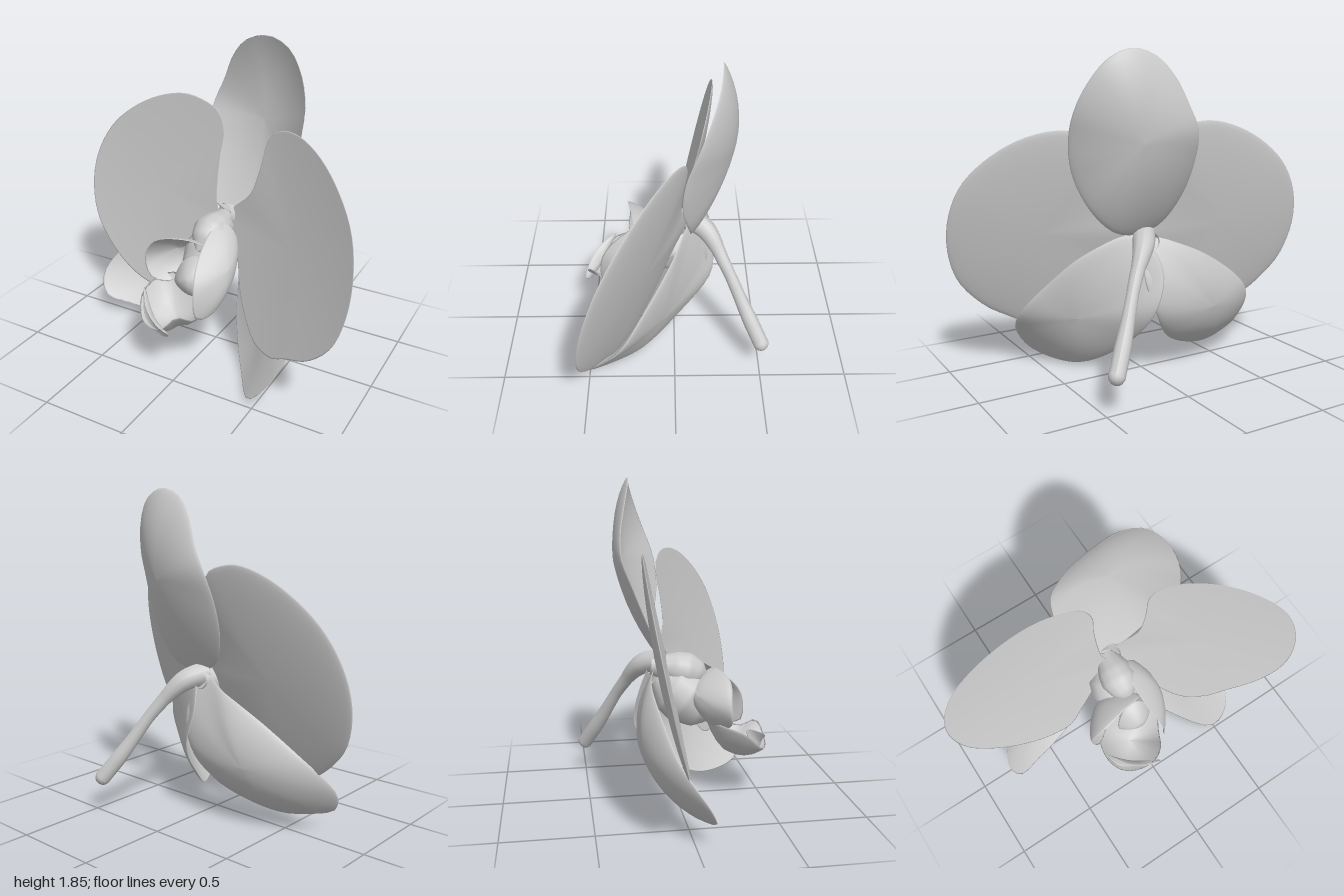
import * as THREE from 'three';

const V = (p) => new THREE.Vector3(p[0], p[1], p[2]);

// Cupped, thin closed blade: a smooth 3D rim (counter-clockwise from its front)
// whose middle is pulled toward `cup`; the back shell sits `thick` behind.
function petalGeometry(rim, cup, thick, segs = 48, rings = 10) {
  const curve = new THREE.CatmullRomCurve3(rim.map(V), true);
  const edge = curve.getSpacedPoints(segs).slice(0, segs);
  const mid = new THREE.Vector3();
  edge.forEach((e) => mid.addScaledVector(e, 1 / segs));
  const normal = new THREE.Vector3();
  edge.forEach((e, i) => {
    const a = e.clone().sub(mid), b = edge[(i + 1) % segs].clone().sub(mid);
    normal.add(a.cross(b));
  });
  normal.normalize();
  const pull = V(cup).sub(mid);

  const pos = [], index = [];
  // rings run from the front middle, over the rim, to the back middle
  const total = rings * 2;
  for (let r = 0; r <= total; r++) {
    const s = Math.max(0.001, Math.sin((r / total) * Math.PI));
    const back = r > rings ? thick * Math.sqrt(1 - s * s) : 0;
    for (const e of edge) {
      // rim waviness fades out quadratically so the middle stays smooth
      const wave = e.clone().sub(mid).dot(normal);
      const p = mid.clone().lerp(e, s).addScaledVector(normal, wave * (s * s - s) - back);
      p.addScaledVector(pull, 1 - s * s);
      pos.push(p.x, p.y, p.z);
    }
  }
  for (let r = 0; r < total; r++) {
    for (let i = 0; i < segs; i++) {
      const j = (i + 1) % segs;
      const a = r * segs + i, b = r * segs + j, c = a + segs, d = b + segs;
      index.push(a, c, b, b, c, d);
    }
  }
  const g = new THREE.BufferGeometry();
  g.setAttribute('position', new THREE.Float32BufferAttribute(pos, 3));
  g.setIndex(index);
  g.computeVertexNormals();
  return g;
}

// Tube whose radius follows a list of values along its path
function taperedTube(path, radii, segs = 24, sides = 12) {
  const g = new THREE.TubeGeometry(new THREE.CatmullRomCurve3(path.map(V)), segs, 1, sides);
  const curve = g.parameters.path, p = g.attributes.position, v = new THREE.Vector3();
  for (let i = 0; i < p.count; i++) {
    const t = Math.floor(i / (sides + 1)) / segs;
    const k = t * (radii.length - 1), n = Math.min(Math.floor(k), radii.length - 2);
    const radius = THREE.MathUtils.lerp(radii[n], radii[n + 1], k - n);
    const c = curve.getPointAt(t);
    v.fromBufferAttribute(p, i).sub(c).multiplyScalar(radius).add(c);
    p.setXYZ(i, v.x, v.y, v.z);
  }
  g.computeVertexNormals();
  return g;
}

export function createModel() {
  const flower = new THREE.Group();
  flower.name = 'orchidFlower';
  const material = new THREE.MeshStandardMaterial({ color: 0xcccccc, side: THREE.DoubleSide });
  const add = (name, geometry) => {
    const mesh = new THREE.Mesh(geometry, material);
    mesh.name = name;
    flower.add(mesh);
    return mesh;
  };

  // Two broad side petals, each lying on its own tilted plane
  const rightZ = (x, y) => -0.05 + 0.12 * x - 0.21 * (y - 0.85);
  const leftZ = (x, y) => 0.58 * (x - 0.2) - 0.25 * (y - 0.85);
  const onPlane = (pts, z) => pts.map(([x, y]) => [x, y, z(x, y)]);
  add('rightPetal', petalGeometry(onPlane([
    [-0.03, 0.9], [-0.04, 1.15], [-0.03, 1.3], [-0.08, 1.4], [-0.17, 1.44], [-0.34, 1.46],
    [-0.6, 1.38], [-0.85, 1.2], [-0.97, 1.0], [-1, 0.8], [-0.95, 0.6], [-0.85, 0.47],
    [-0.68, 0.34], [-0.48, 0.27], [-0.33, 0.29], [-0.25, 0.4], [-0.15, 0.55], [0, 0.8],
  ], rightZ), [-0.48, 0.87, rightZ(-0.48, 0.87) - 0.02], 0.03, 64));
  add('leftPetal', petalGeometry(onPlane([
    [0.05, 0.84], [0.15, 0.65], [0.22, 0.45], [0.29, 0.34], [0.38, 0.25], [0.52, 0.24],
    [0.63, 0.3], [0.78, 0.38], [0.92, 0.53], [0.98, 0.7], [0.99, 0.9], [0.94, 1.1],
    [0.83, 1.25], [0.67, 1.37], [0.5, 1.42], [0.37, 1.4], [0.29, 1.33], [0.25, 1.15],
    [0.2, 1.0], [0.1, 0.9],
  ], leftZ), [0.56, 0.84, leftZ(0.56, 0.84) - 0.02], 0.03, 64));

  // Three sepals behind the petals
  add('topSepal', petalGeometry([
    [0.06, 0.83, -0.08], [0.21, 0.85, -0.09], [0.35, 0.97, -0.08], [0.45, 1.18, -0.04],
    [0.48, 1.38, -0.06], [0.47, 1.54, -0.12], [0.41, 1.69, -0.18], [0.32, 1.8, -0.22],
    [0.19, 1.85, -0.24], [0.05, 1.81, -0.25], [-0.05, 1.7, -0.28], [-0.12, 1.55, -0.31],
    [-0.18, 1.42, -0.31], [-0.2, 1.25, -0.25], [-0.17, 1.05, -0.17], [-0.07, 0.88, -0.1],
  ], [0.16, 1.36, -0.28], 0.035));
  add('rightSepal', petalGeometry([
    [0, 0.8, -0.1], [-0.2, 0.75, -0.16], [-0.45, 0.62, -0.14], [-0.68, 0.45, -0.08],
    [-0.78, 0.33, 0], [-0.8, 0.24, 0.06], [-0.75, 0.14, 0.1], [-0.62, 0.1, 0.06],
    [-0.47, 0.08, 0.02], [-0.28, 0.12, -0.04], [-0.1, 0.22, -0.12], [0.02, 0.4, -0.2],
    [0.08, 0.62, -0.17],
  ], [-0.36, 0.38, -0.19], 0.03));
  add('leftSepal', petalGeometry([
    [0.08, 0.83, -0.1], [-0.02, 0.65, -0.21], [0.03, 0.42, -0.23], [0.12, 0.18, -0.04],
    [0.3, 0.01, 0.24], [0.48, 0.05, 0.49], [0.6, 0.2, 0.45], [0.63, 0.35, 0.31],
    [0.51, 0.55, 0.16], [0.34, 0.73, 0.02],
  ], [0.36, 0.35, 0.09], 0.03));

  // Column: low hooded swelling above the lip
  add('column', taperedTube(
    [[0.01, 0.79, -0.14], [0.01, 0.77, -0.02], [0, 0.74, 0.1], [-0.01, 0.69, 0.2]],
    [0.05, 0.07, 0.1, 0.11, 0.08, 0.004]));
  // Throat joining lip and column
  add('throat', taperedTube(
    [[0.02, 0.72, -0.1], [0, 0.63, 0.02], [-0.02, 0.55, 0.12], [-0.04, 0.48, 0.24]],
    [0.06, 0.15, 0.16, 0.12, 0.01]));

  // Lip: two upright side lobes and a scooped middle lobe
  add('rightLipLobe', petalGeometry([
    [-0.17, 0.46, 0.2], [-0.12, 0.58, 0.1], [-0.06, 0.68, 0.1], [0.05, 0.75, 0.22],
    [-0.07, 0.77, 0.25], [-0.25, 0.73, 0.28], [-0.32, 0.6, 0.27], [-0.27, 0.49, 0.28],
  ], [-0.18, 0.64, 0.13], 0.025, 32, 6));
  add('leftLipLobe', petalGeometry([
    [0.06, 0.84, 0.04], [0.05, 0.74, 0.26], [0.09, 0.58, 0.42], [0.11, 0.4, 0.42],
    [0.16, 0.4, 0.32], [0.18, 0.52, 0.14], [0.15, 0.74, 0.02],
  ], [0.2, 0.63, 0.22], 0.025, 32, 6));
  add('middleLipLobe', petalGeometry([
    [-0.22, 0.5, 0.2], [-0.28, 0.44, 0.36], [-0.21, 0.33, 0.48], [-0.06, 0.34, 0.53],
    [0.03, 0.43, 0.5], [0.09, 0.38, 0.4], [0.14, 0.48, 0.25], [0, 0.5, 0.18],
  ], [-0.08, 0.3, 0.32], 0.025, 32, 6));
  // Curled tip of the middle lobe
  add('lipTip', petalGeometry([
    [-0.27, 0.47, 0.36], [-0.22, 0.33, 0.44], [-0.08, 0.29, 0.5], [0.01, 0.33, 0.54],
    [-0.08, 0.36, 0.53], [-0.19, 0.42, 0.47],
  ], [-0.15, 0.35, 0.47], 0.02, 24, 5));
  // Callus: folded swelling in the mouth of the lip
  add('callus', petalGeometry([
    [-0.12, 0.5, 0.27], [0.02, 0.46, 0.3], [0.1, 0.55, 0.27], [0.04, 0.67, 0.22],
    [-0.05, 0.66, 0.22], [-0.1, 0.6, 0.24],
  ], [-0.01, 0.57, 0.33], 0.06, 24, 6));

  // Stem drooping behind the flower, with a blunt swollen end
  add('stem', taperedTube(
    [[0.02, 0.82, -0.06], [0.09, 0.78, -0.18], [0.21, 0.62, -0.29], [0.34, 0.38, -0.41],
      [0.44, 0.21, -0.5]],
    [0.07, 0.06, 0.04, 0.035, 0.038, 0.046, 0.046], 40));
  const stemEnd = add('stemEnd', new THREE.SphereGeometry(0.046, 12, 8));
  stemEnd.position.set(0.44, 0.21, -0.5);

  return flower;
}
